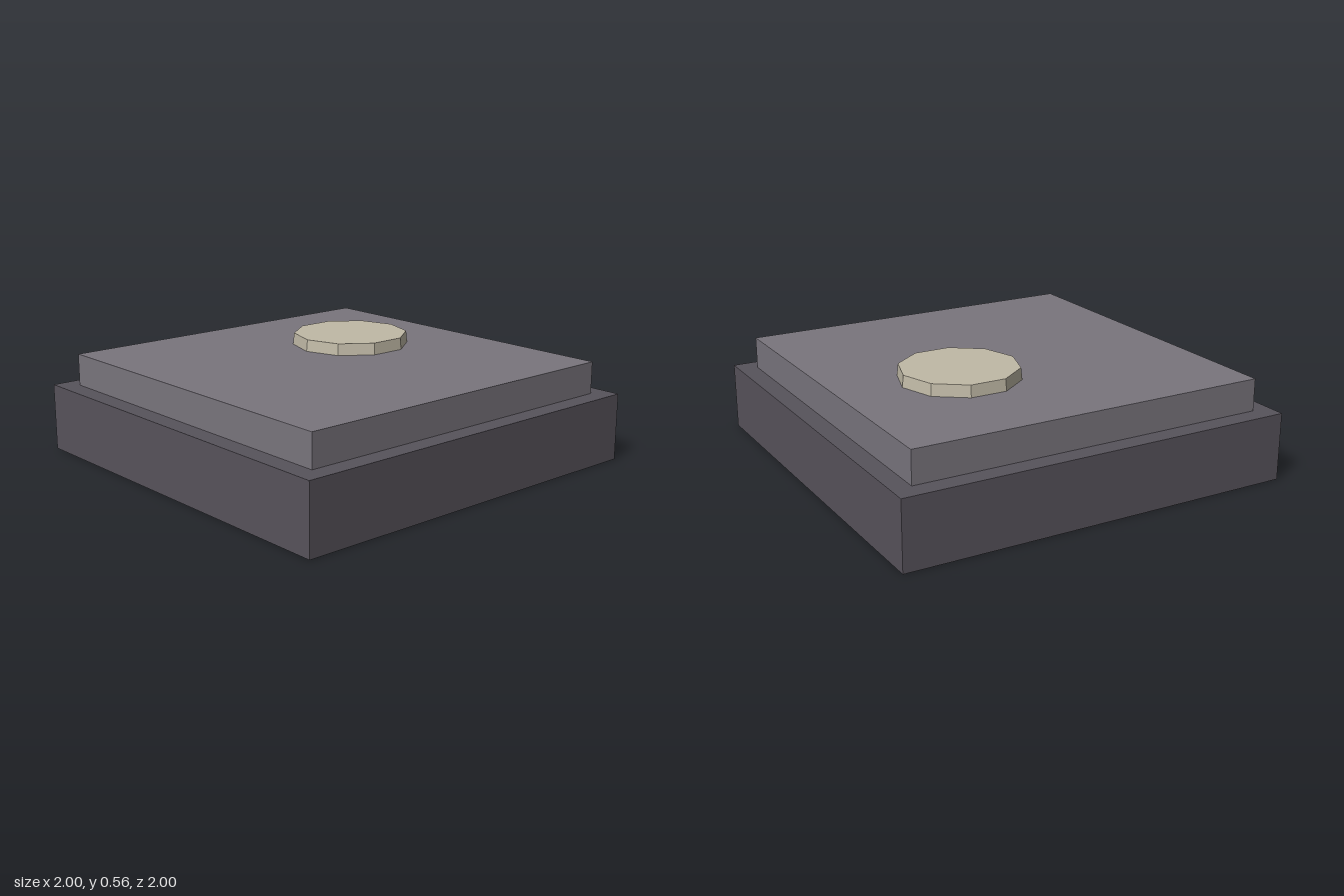
import * as THREE from 'three';

function addPart(group, name, geometry, color, x, y, z) {
  const material = new THREE.MeshStandardMaterial({ color, flatShading: true });
  const mesh = new THREE.Mesh(geometry, material);
  mesh.name = name;
  mesh.position.set(x, y, z);
  group.add(mesh);
}

export function createModel() {
  const group = new THREE.Group();
  group.name = 'steppedSlab';

  const baseTop = 0.337, slabTop = 0.498, discTop = 0.557;

  // Wide dark base
  addPart(group, 'base', new THREE.BoxGeometry(2, baseTop, 2), 0x57535b, 0, baseTop / 2, 0);

  // Narrower slab set on the base
  const slabHeight = slabTop - baseTop;
  addPart(group, 'upperSlab', new THREE.BoxGeometry(1.81, slabHeight, 1.81), 0x79757d,
    0, baseTop + slabHeight / 2, 0);

  // Ten-sided pale disc, slightly tapered, with corners on the x axis
  const discHeight = discTop - slabTop;
  const disc = new THREE.CylinderGeometry(0.293, 0.299, discHeight, 10, 1, false, Math.PI / 2);
  addPart(group, 'disc', disc, 0xc0b9a6, 0.295, slabTop + discHeight / 2, -0.192);

  return group;
}
